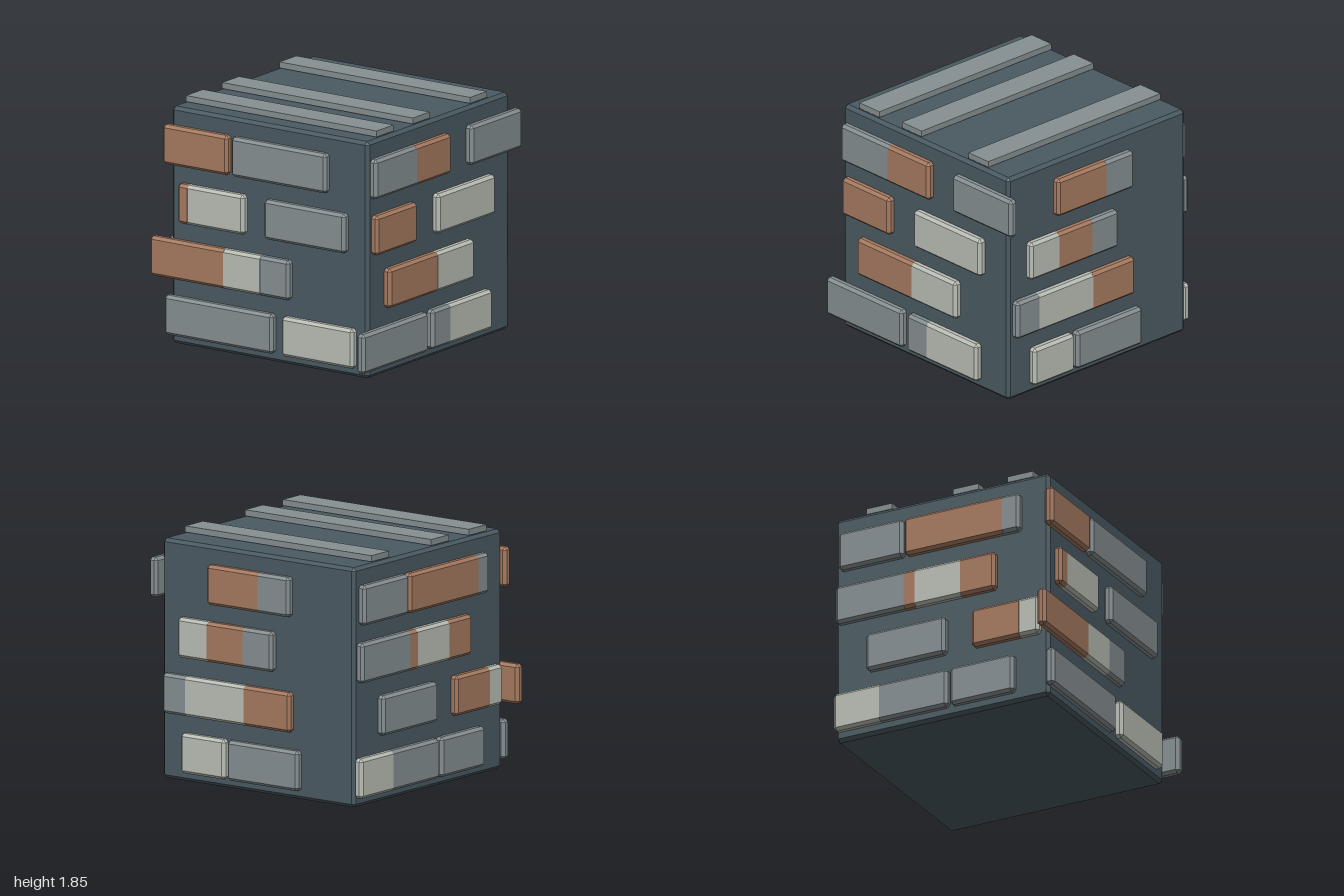
import * as THREE from 'three';
import { ConvexGeometry } from 'three/addons/geometries/ConvexGeometry.js';

const mats = {
  core: new THREE.MeshStandardMaterial({ color: 0x4a5a62 }),
  grey: new THREE.MeshStandardMaterial({ color: 0x868f92 }),
  clay: new THREE.MeshStandardMaterial({ color: 0xa67a60 }),
  pale: new THREE.MeshStandardMaterial({ color: 0xb9beb5 }),
};

// Box with all edges cut at 45 degrees
function chamferedBox(w, h, d, c) {
  const pts = [];
  for (const x of [-1, 1]) for (const y of [-1, 1]) for (const z of [-1, 1]) {
    for (let axis = 0; axis < 3; axis++) {
      const inset = [c, c, c];
      inset[axis] = 0;
      pts.push(new THREE.Vector3(x * (w / 2 - inset[0]), y * (h / 2 - inset[1]), z * (d / 2 - inset[2])));
    }
  }
  return new ConvexGeometry(pts);
}

const BRICK_H = 0.3, BRICK_D = 0.075, CUT = 0.022;
const ROW_Y = [0.22, 0.65, 1.085, 1.515];

// Each wall: the axis its bricks run along, the position of its brick centres,
// and per row the runs of joined bricks as [start, colour, end, colour, end, ...]
const walls = [
  { name: 'front', along: 'x', across: 0.8875, out: 1, rows: [
    [[-0.87, 'grey', 0.11], [0.19, 'pale', 0.84]],
    [[-1, 'clay', -0.33, 'pale', 0, 'grey', 0.26]],
    [[-0.75, 'clay', -0.655, 'pale', -0.15], [0.03, 'grey', 0.765]],
    [[-0.885, 'clay', -0.295], [-0.265, 'grey', 0.595]],
  ] },
  { name: 'back', along: 'x', across: -0.9325, out: -1, rows: [
    [[-0.36, 'grey', 0.3], [0.32, 'pale', 0.73]],
    [[-0.285, 'clay', 0.14, 'pale', 0.68, 'grey', 0.9]],
    [[-0.12, 'grey', 0.15, 'clay', 0.48, 'pale', 0.76]],
    [[-0.275, 'grey', 0.01, 'clay', 0.49]],
  ] },
  { name: 'right', along: 'z', across: 0.9605, out: 1, rows: [
    [[-0.625, 'pale', -0.09, 'grey', 0.13], [0.18, 'grey', 1]],
    [[-0.4, 'pale', 0.07, 'clay', 0.67]],
    [[-0.665, 'pale', 0.06], [0.315, 'clay', 0.83]],
    [[-1, 'grey', -0.36], [-0.11, 'clay', 0.33, 'grey', 0.845]],
  ] },
  { name: 'left', along: 'z', across: -0.8625, out: -1, rows: [
    [[-0.9, 'pale', -0.515, 'grey', 0.05], [0.07, 'grey', 0.6]],
    [[-0.63, 'grey', 0.03], [0.25, 'clay', 0.65, 'pale', 0.81]],
    [[-0.885, 'grey', -0.31, 'clay', -0.22, 'pale', 0.16, 'clay', 0.445]],
    [[-0.86, 'grey', -0.32], [-0.31, 'clay', 0.51, 'grey', 0.65]],
  ] },
];

// Lays a run of bricks; joined ones overlap, each sunk a hair deeper than the last
function layRun(group, wall, y, run) {
  let start = run[0];
  const last = run[run.length - 1];
  for (let i = 1; i < run.length; i += 2) {
    const joined = i + 2 < run.length;
    const a = i > 1 ? Math.max(run[0], start - 0.03) : start;
    const b = joined ? Math.min(last, run[i + 1] + CUT) : last;
    const len = b - a, mid = (a + b) / 2;
    const across = wall.across - wall.out * 0.0008 * (i - 1) / 2;
    const alongX = wall.along === 'x';
    const brick = new THREE.Mesh(
      alongX ? chamferedBox(len, BRICK_H, BRICK_D, CUT) : chamferedBox(BRICK_D, BRICK_H, len, CUT),
      mats[run[i]]);
    brick.position.set(alongX ? mid : across, y, alongX ? across : mid);
    brick.name = wall.name + 'Brick';
    group.add(brick);
    start = run[i + 1];
  }
}

export function createModel() {
  const model = new THREE.Group();
  model.name = 'brickBlock';

  // Solid block
  const core = new THREE.Mesh(chamferedBox(1.78, 1.8, 1.78, 0.025), mats.core);
  core.name = 'core';
  core.position.set(0.05, 0.9, -0.02);
  model.add(core);

  // Slats on top
  for (const z of [-0.56, 0.16, 0.615]) {
    const slat = new THREE.Mesh(new THREE.BoxGeometry(1.725, 0.046, 0.213), mats.grey);
    slat.name = 'topSlat';
    slat.position.set(0.05, 1.829, z);
    model.add(slat);
  }

  // Bricks on the four walls
  for (const wall of walls) {
    const group = new THREE.Group();
    group.name = wall.name + 'Bricks';
    wall.rows.forEach((runs, r) => runs.forEach((run) => layRun(group, wall, ROW_Y[r], run)));
    model.add(group);
  }
  return model;
}
